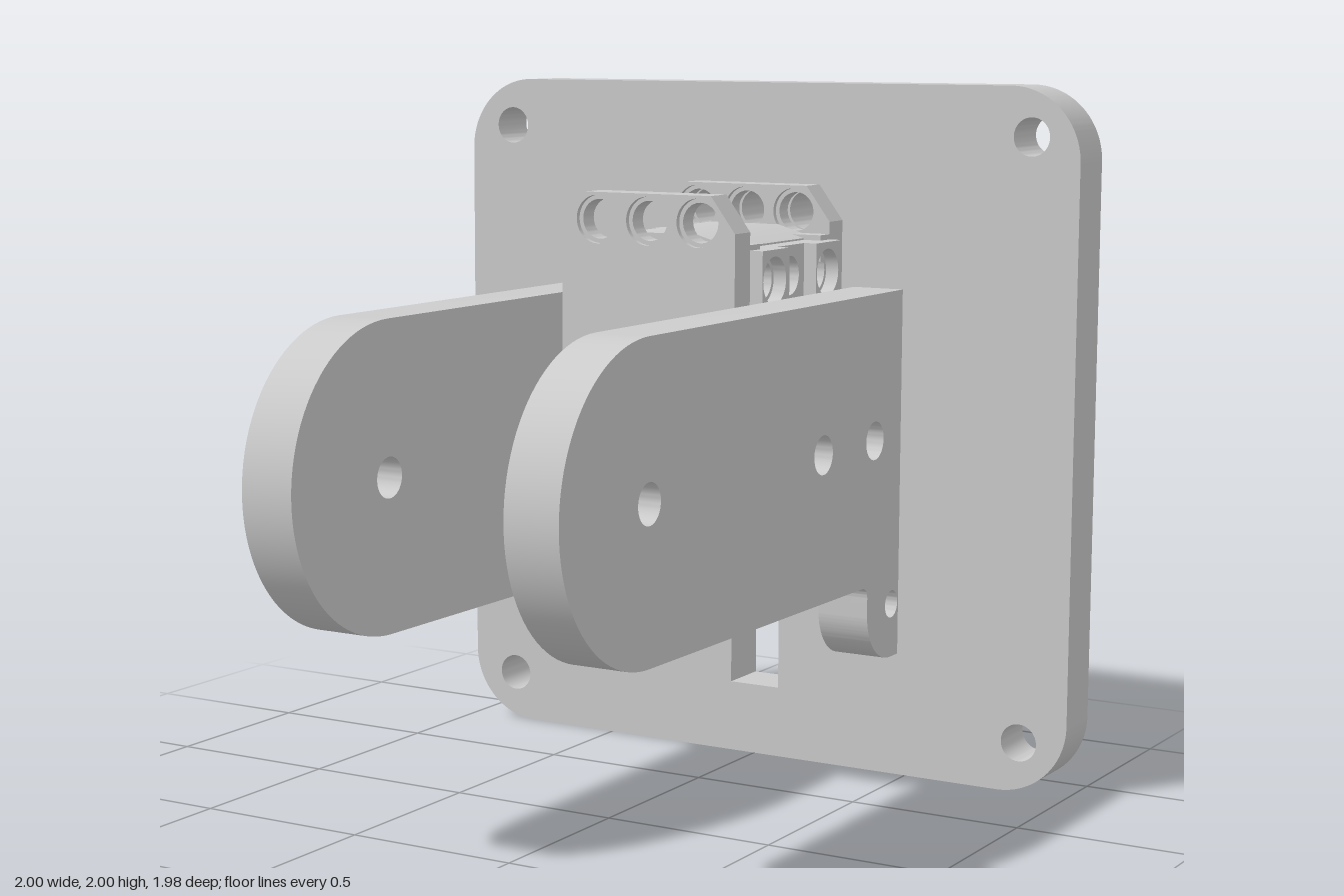
import * as THREE from 'three';
import { toCreasedNormals } from 'three/addons/utils/BufferGeometryUtils.js';

const material = new THREE.MeshStandardMaterial({ color: 0xcccccc });

function addHole(shape, x, y, r) {
  const path = new THREE.Path();
  path.absarc(x, y, r, 0, Math.PI * 2, true);
  shape.holes.push(path);
}

function polygon(points) {
  return new THREE.Shape(points.map(([x, y]) => new THREE.Vector2(x, y)));
}

function rect(x0, x1, y0, y1) {
  return polygon([[x0, y0], [x1, y0], [x1, y1], [x0, y1]]);
}

function extrude(shape, depth) {
  const geo = new THREE.ExtrudeGeometry(shape, { depth, bevelEnabled: false, curveSegments: 24 });
  return toCreasedNormals(geo, 0.5);
}

function addMesh(parent, name, geo) {
  const mesh = new THREE.Mesh(geo, material);
  mesh.name = name;
  parent.add(mesh);
  return mesh;
}

// Shape drawn in x/y, extruded from z0 to z1
function slabZ(parent, name, shape, z0, z1) {
  return addMesh(parent, name, extrude(shape, z1 - z0).translate(0, 0, z0));
}

// Shape drawn in (-z)/y, extruded from x0 to x1
function slabX(parent, name, shape, x0, x1) {
  return addMesh(parent, name, extrude(shape, x1 - x0).rotateY(Math.PI / 2).translate(x0, 0, 0));
}

// The same slab on both sides of the model
function pairX(parent, name, shape, inner, outer) {
  slabX(parent, name + 'Left', shape, inner, outer);
  slabX(parent, name + 'Right', shape, -outer, -inner);
}

function mountingPlate(parent) {
  const r = 0.21;
  const s = new THREE.Shape();
  s.absarc(1 - r, r, r, -Math.PI / 2, 0);
  s.absarc(1 - r, 2 - r, r, 0, Math.PI / 2);
  s.absarc(r - 1, 2 - r, r, Math.PI / 2, Math.PI);
  s.absarc(r - 1, r, r, Math.PI, Math.PI * 1.5);
  s.closePath();
  for (const x of [-0.855, 0.855]) for (const y of [0.145, 1.86]) addHole(s, x, y, 0.054);
  for (const x of [-0.16, 0, 0.16]) addHole(s, x, 1.635, 0.055);
  addHole(s, 0, 1, 0.245);
  s.holes.push(rect(-0.08, 0.08, 0.21, 0.61));
  slabZ(parent, 'mountingPlate', s, -0.99, -0.835);
}

function arms(parent) {
  const s = new THREE.Shape();
  s.moveTo(0.835, 1.42);
  s.lineTo(-0.575, 1.42);
  s.absarc(-0.575, 1.005, 0.415, Math.PI / 2, Math.PI * 1.5);
  s.lineTo(0.6, 0.59);
  s.quadraticCurveTo(0.635, 0.59, 0.635, 0.555); // fillet into the lower lug
  s.lineTo(0.635, 0.51);
  s.absarc(0.785, 0.51, 0.15, Math.PI, Math.PI * 1.5);
  s.lineTo(0.835, 0.36);
  s.closePath();
  for (const u of [-0.575, 0.355, 0.67]) addHole(s, u, 1.005, 0.055);
  addHole(s, 0.79, 0.515, 0.04);
  pairX(parent, 'arm', s, 0.315, 0.47);
}

// Chamfered end plate of the servo, counterbored on both faces
function endPlate(parent, name, z0, z1, rows) {
  const layers = [[z0, z0 + 0.015, 0.067], [z0 + 0.015, z1 - 0.015, 0.055], [z1 - 0.015, z1, 0.067]];
  for (const [a, b, r] of layers) {
    const s = polygon([
      [-0.2, 0.77], [0.2, 0.77], [0.275, 0.87], [0.275, 1.61],
      [0.2, 1.71], [-0.2, 1.71], [-0.275, 1.61], [-0.275, 0.87],
    ]);
    for (const y of rows) for (const x of [-0.16, 0, 0.16]) addHole(s, x, y, r);
    slabZ(parent, name, s, a, b);
  }
}

function servo(parent) {
  const g = new THREE.Group();
  g.name = 'servo';
  parent.add(g);
  endPlate(g, 'servoFrontPlate', -0.285, -0.2, [1.635, 1.005]);
  endPlate(g, 'servoBackPlate', -0.835, -0.755, [1.635]);

  // Core with a raised ridge along the top and bottom
  const core = polygon([
    [-0.22, 0.92], [-0.11, 0.88], [0.11, 0.88], [0.22, 0.92],
    [0.22, 1.565], [0.11, 1.597], [-0.11, 1.597], [-0.22, 1.565],
  ]);
  slabZ(g, 'servoCore', core, -0.755, -0.285);

  // Raised lips at each end of the core
  for (const z of [-0.755, -0.34]) for (const x of [-0.095, 0.095]) {
    const sign = Math.sign(x);
    for (const y of [0.9, 1.5]) {
      const lip = new THREE.BoxGeometry(0.18, 0.075, 0.055);
      addMesh(g, 'servoLip', lip.translate(x + sign * 0.09, y + 0.0375, z + 0.0275));
    }
  }

  // Side walls with three sockets per row
  const wall = rect(0.285, 0.755, 0.92, 1.56);
  for (const y of [1.005, 1.475]) for (const u of [0.355, 0.515, 0.67]) addHole(wall, u, y, 0.055);
  pairX(g, 'servoSideWall', wall, 0.22, 0.275);

  // Side bosses and the thinner strips between them
  for (const [u0, u1, u] of [[0.285, 0.44, 0.355], [0.6, 0.755, 0.67]]) {
    for (const [y0, y1, y] of [[0.91, 1.08, 1.005], [1.4, 1.56, 1.475]]) {
      const boss = rect(u0, u1, y0, y1);
      addHole(boss, u, y, 0.066);
      pairX(g, 'servoBoss', boss, 0.275, 0.314);
    }
    pairX(g, 'servoSideStrip', rect(u0, u1, 1.08, 1.4), 0.275, 0.295);
  }
}

function horn(parent) {
  const s = new THREE.Shape();
  s.absarc(0, 1, 0.228, 0, Math.PI * 2);
  addHole(s, 0, 1, 0.075);
  for (let i = 0; i < 4; i++) {
    const a = (i * Math.PI) / 2;
    addHole(s, 0.165 * Math.cos(a + Math.PI / 4), 1 + 0.165 * Math.sin(a + Math.PI / 4), 0.052);
    addHole(s, 0.165 * Math.cos(a), 1 + 0.165 * Math.sin(a), 0.023);
  }
  slabZ(parent, 'outputHorn', s, -0.91, -0.835);
  const hub = new THREE.CylinderGeometry(0.075, 0.075, 0.055, 32).rotateX(Math.PI / 2);
  addMesh(parent, 'hornHub', hub.translate(0, 1, -0.862));
}

export function createModel() {
  const model = new THREE.Group();
  model.name = 'servoBracket';
  mountingPlate(model);
  arms(model);
  servo(model);
  horn(model);
  return model;
}
